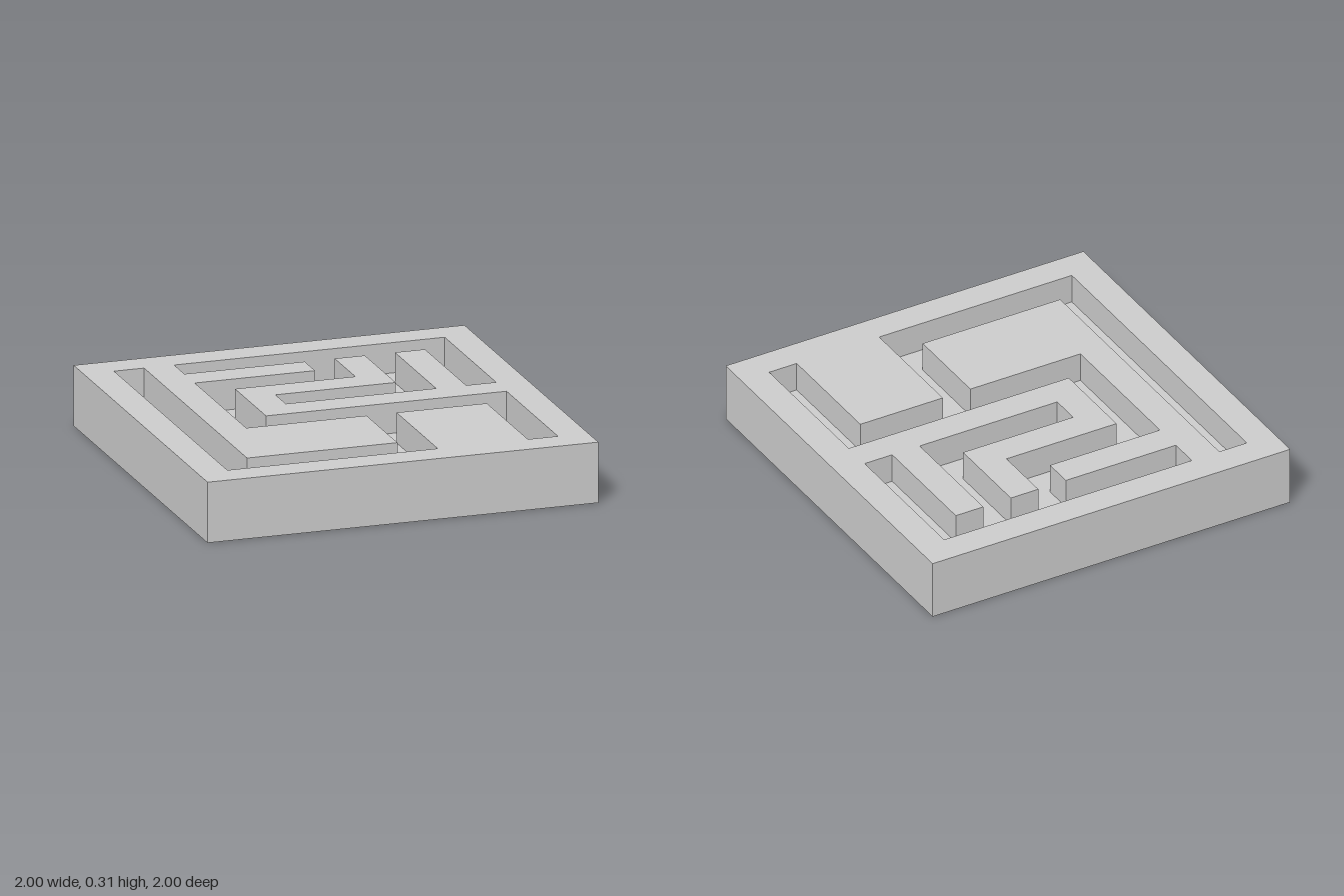
import * as THREE from 'three';

const CELL = 2 / 13;          // the plan is a 13 x 13 grid
const HEIGHT = 2 * CELL;
const FLOOR = CELL;           // bottom of the channel

// grid corner (column, row from the back) to plan coordinates (x, -z)
const toPlan = ([c, r]) => new THREE.Vector2(c * CELL - 1, 1 - r * CELL);

// outlines in grid corners
const OUTER = [[0, 0], [0, 13], [13, 13], [13, 0]].map(toPlan);
const CHANNEL = [
  [1, 1], [2, 1], [2, 11], [7, 11], [7, 8], [3, 8], [3, 3], [7, 3],
  [7, 2], [3, 2], [3, 1], [12, 1], [12, 6], [11, 6], [11, 2], [10, 2],
  [10, 6], [5, 6], [5, 5], [9, 5], [9, 2], [8, 2], [8, 4], [4, 4],
  [4, 7], [12, 7], [12, 12], [11, 12], [11, 8], [8, 8], [8, 12], [1, 12],
].map(toPlan);

// upright walls along a closed outline; they face outward or into the outline
function walls(outline, y0, y1, inward) {
  const pts = outline.slice();
  if (THREE.ShapeUtils.isClockWise(pts) !== inward) pts.reverse();
  const pos = [];
  pts.forEach((a, i) => {
    const b = pts[(i + 1) % pts.length];
    const a0 = [a.x, y0, -a.y], b0 = [b.x, y0, -b.y];
    const a1 = [a.x, y1, -a.y], b1 = [b.x, y1, -b.y];
    pos.push(...a0, ...b0, ...b1, ...a0, ...b1, ...a1);
  });
  const geo = new THREE.BufferGeometry();
  geo.setAttribute('position', new THREE.Float32BufferAttribute(pos, 3));
  geo.computeVertexNormals();
  return geo;
}

// level face of an outline at a given height, facing up
function level(outline, y, hole) {
  const shape = new THREE.Shape(outline);
  if (hole) shape.holes.push(new THREE.Path(hole));
  return new THREE.ShapeGeometry(shape).rotateX(-Math.PI / 2).translate(0, y, 0);
}

export function createModel() {
  const group = new THREE.Group();
  group.name = 'mazeBlock';
  const material = new THREE.MeshStandardMaterial({ color: 0xcccccc });
  const add = (name, geometry) => {
    const mesh = new THREE.Mesh(geometry, material);
    mesh.name = name;
    group.add(mesh);
  };

  // solid slab
  add('outerSides', walls(OUTER, 0, HEIGHT, false));
  add('topFace', level(OUTER, HEIGHT, CHANNEL));
  add('underside', new THREE.PlaneGeometry(2, 2).rotateX(Math.PI / 2));

  // winding channel cut into the top
  add('channelWalls', walls(CHANNEL, FLOOR, HEIGHT, true));
  add('channelFloor', level(CHANNEL, FLOOR));

  return group;
}
